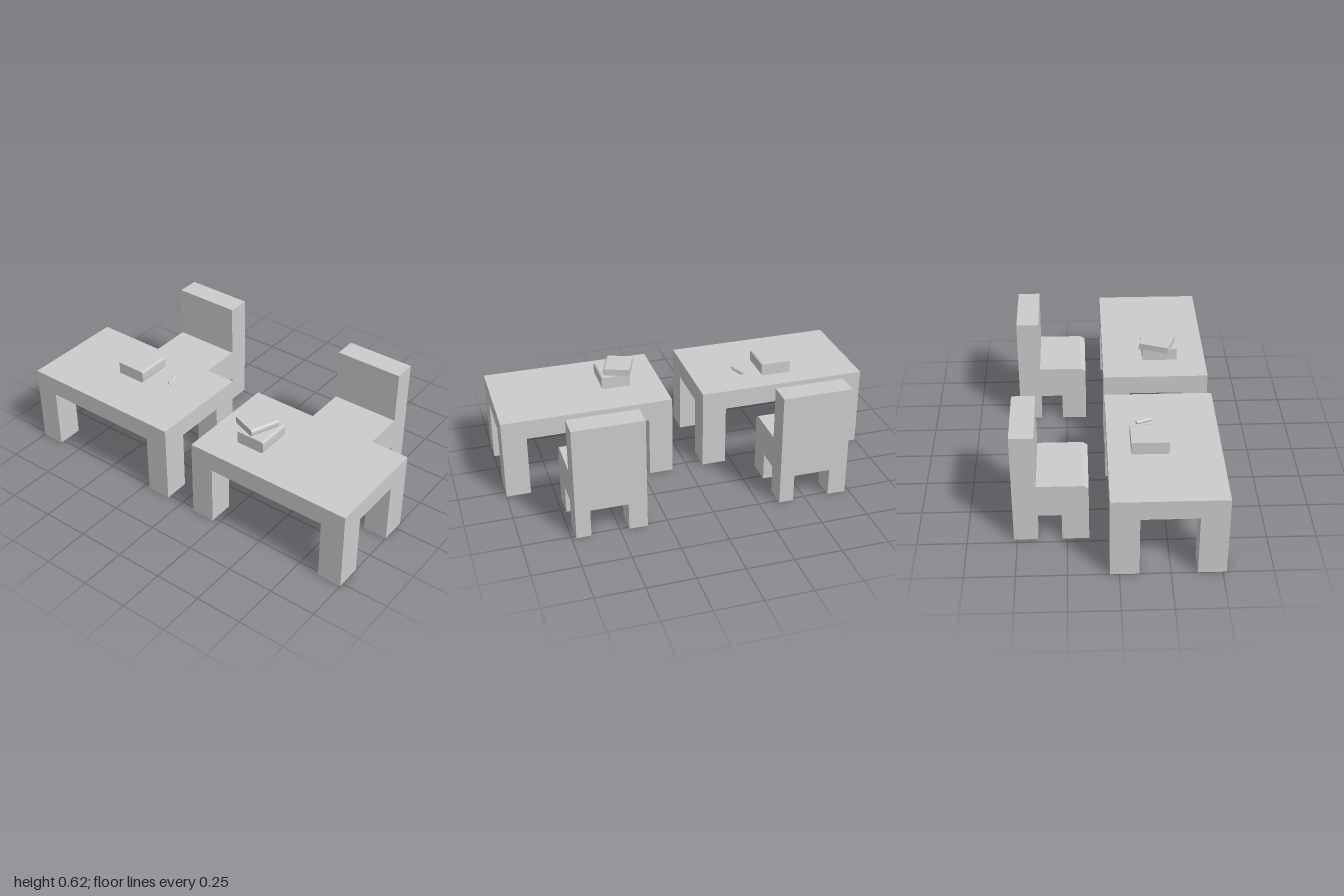
import * as THREE from 'three';

const material = new THREE.MeshStandardMaterial({ color: 0xcccccc, flatShading: true });
const smoothMaterial = new THREE.MeshStandardMaterial({ color: 0xcccccc });

function add(parent, name, geometry, mat = material) {
  const mesh = new THREE.Mesh(geometry, mat);
  mesh.name = name;
  parent.add(mesh);
  return mesh;
}

// Box given by its extents on each axis
function block(parent, name, [x0, x1], [y0, y1], [z0, z1]) {
  add(parent, name, new THREE.BoxGeometry(x1 - x0, y1 - y0, z1 - z0))
    .position.set((x0 + x1) / 2, (y0 + y1) / 2, (z0 + z1) / 2);
}

// Desk: thick slab on four square legs, z measured from the desk centre
function createDesk() {
  const desk = new THREE.Group();
  desk.name = 'desk';
  block(desk, 'deskTop', [-0.52, 0.045], [0.333, 0.438], [-0.457, 0.457]);
  for (const x of [[-0.52, -0.38], [-0.097, 0.045]])
    for (const z of [[-0.457, -0.329], [0.327, 0.457]])
      block(desk, 'deskLeg', x, [0, 0.333], z);
  return desk;
}

// Chair: seat and backrest from one side profile, plus four stub legs
function createChair() {
  const chair = new THREE.Group();
  chair.name = 'chair';
  const profile = new THREE.Shape([
    [0.14, 0.15], [0.517, 0.15], [0.517, 0.615], [0.397, 0.615],
    [0.397, 0.328], [0.165, 0.328], [0.14, 0.312],
  ].map(([x, y]) => new THREE.Vector2(x, y)));
  const body = new THREE.ExtrudeGeometry(profile, { depth: 0.37, bevelEnabled: false });
  add(chair, 'seatAndBackrest', body.translate(0, 0, -0.185));
  for (const x of [[0.14, 0.275], [0.397, 0.517]])
    for (const z of [[-0.185, -0.088], [0.108, 0.185]])
      block(chair, 'chairLeg', x, [0, 0.15], z);
  return chair;
}

// Book: rounded spine along +z, square page edges elsewhere; base at y = 0
function createBook(width, height, depth) {
  const r = Math.min(0.015, height * 0.4), d = depth / 2;
  const s = new THREE.Shape();
  s.moveTo(-d, 0);
  s.lineTo(d - r, 0);
  s.quadraticCurveTo(d, 0, d, r);
  s.lineTo(d, height - r);
  s.quadraticCurveTo(d, height, d - r, height);
  s.lineTo(-d, height);
  s.closePath();
  const geometry = new THREE.ExtrudeGeometry(s, { depth: width, bevelEnabled: false, curveSegments: 5 });
  geometry.translate(0, 0, -width / 2).rotateY(-Math.PI / 2);
  return geometry;
}

export function createModel() {
  const model = new THREE.Group();
  model.name = 'classroomDesks';

  // Two matching desk and chair sets
  for (const side of [-1, 1]) {
    const desk = createDesk();
    desk.position.z = side * 0.543;
    const chair = createChair();
    chair.position.z = side * 0.542;
    model.add(desk, chair);
  }

  // Books: two stacked on one desk, one on the other
  add(model, 'lowerBook', createBook(0.19, 0.067, 0.157)).position.set(-0.269, 0.438, 0.337);
  const upper = add(model, 'upperBook', createBook(0.165, 0.037, 0.145));
  upper.position.set(-0.257, 0.505, 0.304);
  upper.rotation.y = -0.36;
  add(model, 'singleBook', createBook(0.188, 0.067, 0.165)).position.set(-0.165, 0.438, -0.543);

  // Hexagonal pencil lying on the desk, tip toward -x
  const pencil = new THREE.Group();
  pencil.name = 'pencil';
  const shaft = new THREE.CylinderGeometry(0.01, 0.01, 0.082, 6).rotateZ(Math.PI / 2);
  add(pencil, 'pencilShaft', shaft).position.x = 0.011;
  const tip = new THREE.ConeGeometry(0.01, 0.022, 6).rotateZ(Math.PI / 2);
  add(pencil, 'pencilTip', tip).position.x = -0.041;
  pencil.position.set(-0.157, 0.448, -0.345);
  pencil.rotation.y = 0.38;
  model.add(pencil);

  return model;
}
